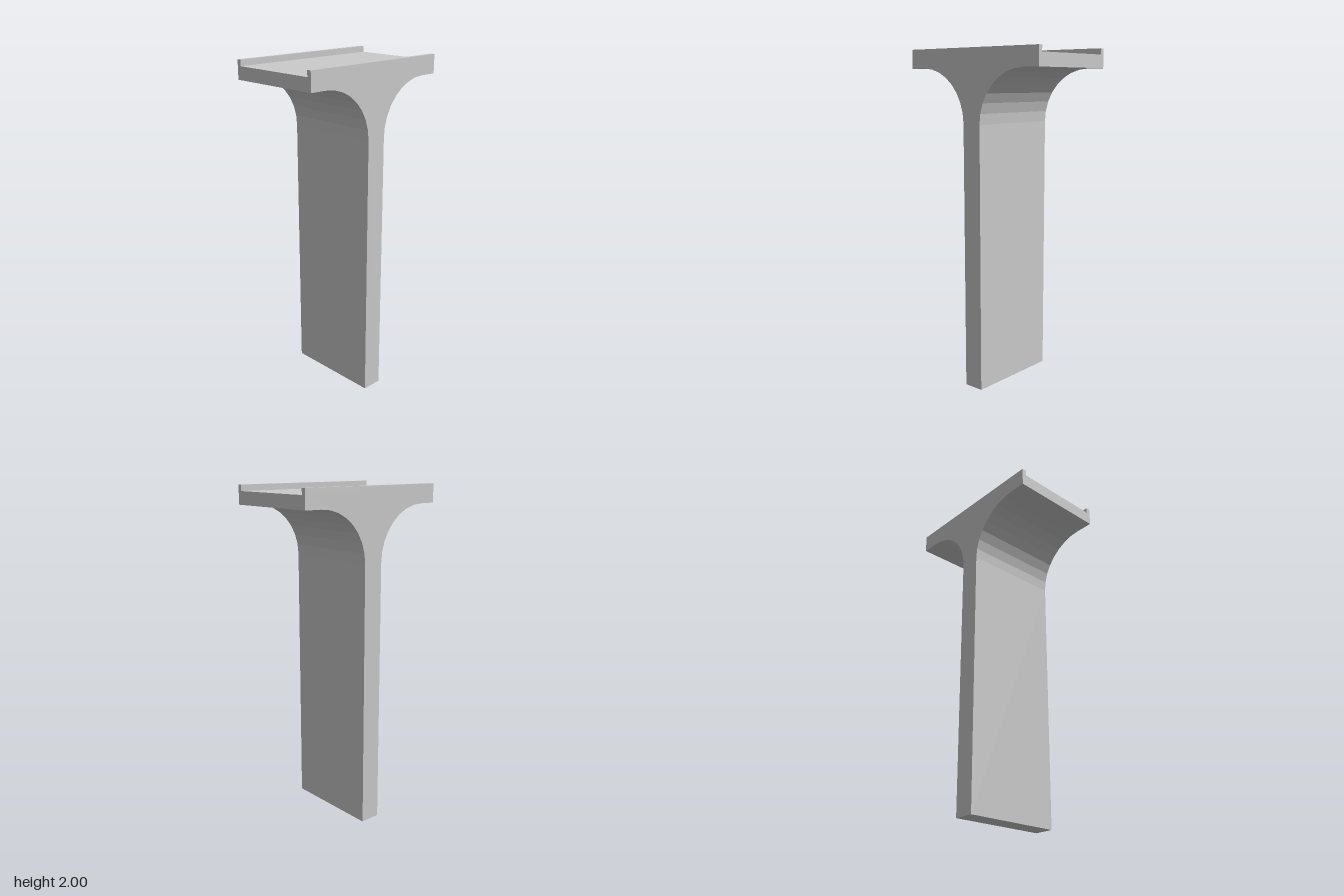
import * as THREE from 'three';

export function createModel() {
  const group = new THREE.Group();
  const material = new THREE.MeshStandardMaterial({ color: 0xcccccc, flatShading: true });

  const depth = 0.596, deckHalf = 0.48, stemHalf = 0.062;
  const deckBottom = 1.889, deckTop = 1.965, lipTop = 2, lipWidth = 0.026;
  const radius = 0.314, steps = 8;

  // Right half of the T profile: stem, faceted fillet, underside and deck edge
  const half = [[stemHalf, 0]];
  for (let i = 0; i <= steps; i++) {
    const a = (i / steps) * Math.PI / 2;
    half.push([
      stemHalf + radius * (1 - Math.cos(a)),
      deckBottom - radius * (1 - Math.sin(a)),
    ]);
  }
  half.push([deckHalf, deckBottom], [deckHalf, deckTop]);

  // Mirror the half profile and extrude it through the depth
  const mirrored = half.map(([x, y]) => [-x, y]).reverse();
  const shape = new THREE.Shape([...half, ...mirrored].map(([x, y]) => new THREE.Vector2(x, y)));
  const pierGeometry = new THREE.ExtrudeGeometry(shape, { depth, bevelEnabled: false });
  pierGeometry.translate(0, 0, -depth / 2);
  const pier = new THREE.Mesh(pierGeometry, material);
  pier.name = 'pierAndDeck';
  group.add(pier);

  // Raised lips along the front and back edges of the deck
  const lipGeometry = new THREE.BoxGeometry(deckHalf * 2, lipTop - deckTop, lipWidth);
  for (const [name, side] of [['frontLip', 1], ['backLip', -1]]) {
    const lip = new THREE.Mesh(lipGeometry, material);
    lip.name = name;
    lip.position.set(0, (lipTop + deckTop) / 2, side * (depth - lipWidth) / 2);
    group.add(lip);
  }

  return group;
}
